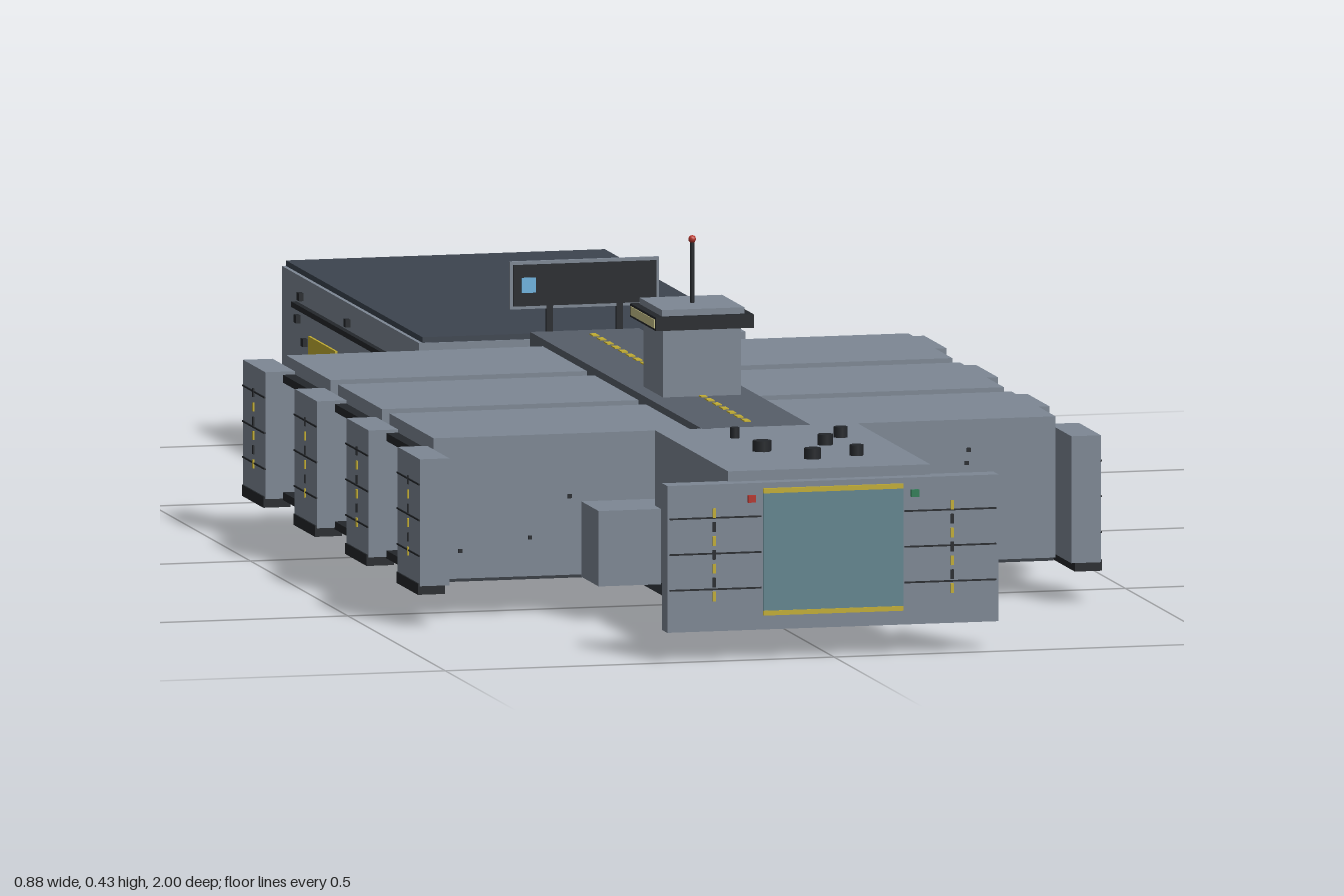
import * as THREE from 'three';

const paint = (color) => new THREE.MeshStandardMaterial({ color });
const HULL = paint(0x7d8794), SPINE = paint(0x575e69), ROOF = paint(0x3c444f), DARK = paint(0x24272b);
const BELLY = paint(0x343940), YELLOW = paint(0xc2ad32), RED = paint(0xb5342c), GREEN = paint(0x2f7d55);
const BLUE = paint(0x6fb4e0), TEAL = paint(0x62858f), CREAM = paint(0xc9c38a);

// Box given by its extents on each axis
function box(parent, name, x0, x1, y0, y1, z0, z1, material = HULL) {
  const mesh = new THREE.Mesh(new THREE.BoxGeometry(x1 - x0, y1 - y0, z1 - z0), material);
  mesh.position.set((x0 + x1) / 2, (y0 + y1) / 2, (z0 + z1) / 2);
  mesh.name = name;
  parent.add(mesh);
  return mesh;
}

function cylinder(parent, name, r, h, x, y, z, material, sides = 8) {
  const mesh = new THREE.Mesh(new THREE.CylinderGeometry(r, r, h, sides), material);
  mesh.position.set(x, y, z);
  mesh.name = name;
  parent.add(mesh);
  return mesh;
}

function seeded(seed) {
  return () => (seed = (seed * 16807) % 2147483647) / 2147483647;
}

function addGroup(parent, name) {
  const group = new THREE.Group();
  group.name = name;
  parent.add(group);
  return group;
}

// Docking plate facing +z: seams and a dashed stripe on a slab
function dockPlate(parent, w, y0, y1) {
  box(parent, 'dockPlate', -w / 2, w / 2, y0, y1, -0.02, 0.018);
  for (const y of [0.09, 0.135, 0.18]) box(parent, 'plateSeam', -w / 2, w / 2, y - 0.001, y + 0.001, 0.017, 0.0195, DARK);
  for (let i = 0; i < 6; i++) {
    const y = 0.083 + i * 0.018;
    box(parent, 'warningDash', -0.002, 0.002, y, y + 0.011, 0.017, 0.02, i % 2 ? DARK : YELLOW);
  }
}

export function createModel() {
  const model = new THREE.Group();
  model.name = 'station';
  const random = seeded(17);

  // Central hull with its spine and keel
  const hull = addGroup(model, 'centralHull');
  box(hull, 'coreBody', -0.21, 0.21, 0.045, 0.14, -0.3, 0.63);
  box(hull, 'spine', -0.07, 0.07, 0.13, 0.235, -0.28, 0.605, SPINE);
  box(hull, 'keel', -0.13, 0.13, 0.033, 0.047, -0.3, 0.84, BELLY);
  box(hull, 'lowerKeel', -0.11, 0.11, 0.02, 0.034, -0.3, 0.63, BELLY);
  for (let i = 0; i < 22; i++) {
    const z = -0.24 + i * 0.037;
    box(hull, 'spineDash', -0.004, 0.004, 0.234, 0.2365, z, z + 0.02, YELLOW);
  }
  for (const x of [-0.04, 0.04]) box(hull, 'keelFoot', x - 0.007, x + 0.007, 0.006, 0.021, 0.45, 0.465, DARK);

  // Side bays, docking plates and rails, mirrored
  for (const s of [-1, 1]) {
    const side = addGroup(model, s > 0 ? 'leftBays' : 'rightBays');
    const span = (name, a, b, ...rest) => box(side, name, Math.min(s * a, s * b), Math.max(s * a, s * b), ...rest);
    for (const z of [-0.102, 0.163, 0.428]) {
      span('bay', 0.06, 0.4, 0.048, 0.226, z - 0.113, z + 0.113);
      span('bayFloor', 0.06, 0.398, 0.044, 0.05, z - 0.111, z + 0.111, BELLY);
      for (const y of [0.055, 0.203]) span('bayRail', 0.395, 0.415, y - 0.005, y + 0.005, z - 0.085, z + 0.085, DARK);
      for (let i = 0; i < 3; i++) {
        const x = 0.2 + 0.18 * random(), y = 0.08 + 0.11 * random();
        span('faceStud', x, x + 0.005, y, y + 0.005, z + 0.11, z + 0.115, DARK);
      }
    }
    for (const z of [-0.228, 0.037, 0.302, 0.565]) {
      const plate = addGroup(side, 'sideDock');
      plate.position.set(s * 0.42, 0, z);
      plate.rotation.y = s * Math.PI / 2;
      dockPlate(plate, 0.114, 0.052, 0.212);
      box(plate, 'dockFoot', -0.055, 0.055, 0.041, 0.055, -0.015, 0.02, DARK);
    }
  }

  // Nose module with its front docking plate
  const nose = addGroup(model, 'nose');
  box(nose, 'noseBody', -0.13, 0.13, 0.042, 0.235, 0.6, 0.975);
  box(nose, 'frontPlate', -0.213, 0.213, 0.037, 0.222, 0.968, 0.994);
  box(nose, 'hatch', -0.09, 0.09, 0.06, 0.21, 0.99, 0.997, TEAL);
  for (const y of [0.058, 0.212]) box(nose, 'hatchStripe', -0.09, 0.09, y - 0.003, y + 0.003, 0.99, 0.998, YELLOW);
  for (const s of [-1, 1]) {
    for (const y of [0.09, 0.135, 0.18]) box(nose, 'plateSeam', s * 0.151 - 0.059, s * 0.151 + 0.059, y - 0.001, y + 0.001, 0.993, 0.996, DARK);
    for (let i = 0; i < 7; i++) {
      const y = 0.075 + i * 0.0175;
      box(nose, 'warningDash', s * 0.153 - 0.002, s * 0.153 + 0.002, y, y + 0.012, 0.993, 0.997, i % 2 ? DARK : YELLOW);
    }
    box(nose, 'signalLamp', s * 0.105 - 0.005, s * 0.105 + 0.005, 0.198, 0.207, 0.993, 0.999, s < 0 ? RED : GREEN);
  }
  for (const [x, z, r] of [[-0.045, 0.81, 0.012], [0.045, 0.775, 0.01], [0.08, 0.715, 0.009], [-0.05, 0.69, 0.006], [0, 0.89, 0.011], [0.06, 0.875, 0.009]]) {
    cylinder(nose, 'roofVent', r, 0.015, x, 0.241, z, DARK);
  }

  // Control tower with mast
  const tower = addGroup(model, 'tower');
  box(tower, 'towerBody', -0.05, 0.05, 0.23, 0.325, 0.222, 0.322);
  box(tower, 'windowBand', -0.063, 0.063, 0.321, 0.338, 0.205, 0.337, DARK);
  for (const s of [-1, 1]) box(tower, 'sideWindow', s * 0.063 - 0.001, s * 0.063 + 0.001, 0.324, 0.335, 0.21, 0.332, CREAM);
  box(tower, 'towerRoof', -0.053, 0.053, 0.337, 0.346, 0.214, 0.328);
  cylinder(tower, 'mast', 0.003, 0.08, 0, 0.385, 0.272, DARK);
  const beacon = new THREE.Mesh(new THREE.SphereGeometry(0.005, 8, 6), RED);
  beacon.position.set(0, 0.426, 0.272);
  beacon.name = 'beacon';
  tower.add(beacon);

  // Display board at the rear end of the spine
  const board = addGroup(model, 'displayBoard');
  box(board, 'boardBack', -0.096, 0.096, 0.264, 0.324, -0.286, -0.28);
  box(board, 'boardScreen', -0.092, 0.092, 0.268, 0.32, -0.281, -0.277, DARK);
  box(board, 'boardLight', -0.082, -0.064, 0.285, 0.304, -0.278, -0.275, BLUE);
  for (const x of [-0.045, 0.045]) box(board, 'boardPost', x - 0.004, x + 0.004, 0.22, 0.27, -0.285, -0.279, DARK);

  // Rear cargo module
  const cargo = addGroup(model, 'cargoModule');
  box(cargo, 'cargoBody', -0.21, 0.21, 0.012, 0.224, -0.996, -0.292);
  box(cargo, 'cargoRoof', -0.205, 0.205, 0.222, 0.231, -0.994, -0.294, ROOF);
  box(cargo, 'cargoFloor', -0.212, 0.212, 0.003, 0.014, -0.994, -0.11, DARK);
  box(cargo, 'floorBridge', -0.15, 0.15, 0.012, 0.022, -0.3, -0.11, BELLY);
  for (const x of [-0.04, 0.04]) box(cargo, 'floorFoot', x - 0.007, x + 0.007, 0, 0.006, -0.14, -0.12, DARK);
  for (const s of [-1, 1]) {
    box(cargo, 'sideRail', s * 0.213 - 0.004, s * 0.213 + 0.004, 0.183, 0.19, -0.92, -0.36, DARK);
    box(cargo, 'sidePanel', s * 0.211 - 0.002, s * 0.211 + 0.002, 0.105, 0.156, -0.85, -0.71, YELLOW);
    for (const [z, y] of [[-0.65, 0.2], [-0.89, 0.2], [-0.905, 0.17], [-0.87, 0.145], [-0.84, 0.11], [-0.87, 0.08]]) {
      box(cargo, 'sideFitting', s * 0.212 - 0.004, s * 0.212 + 0.004, y - 0.005, y + 0.005, z - 0.006, z + 0.006, DARK);
    }
  }
  // Pitted rear wall and its edge striping
  for (let i = 0; i < 42; i++) {
    const x = (random() + random() - 1) * 0.17, y = 0.07 + random() * 0.13, r = 0.003 + random() * 0.003;
    box(cargo, 'rearPit', x - r, x + r, y - r, y + r, -0.998, -0.994, DARK);
  }
  for (let i = 0; i < 16; i++) {
    const x = -0.19 + i * 0.024;
    box(cargo, 'rearDash', x, x + 0.018, 0.02, 0.025, -1, -0.994, i % 2 ? DARK : YELLOW);
  }
  return model;
}
